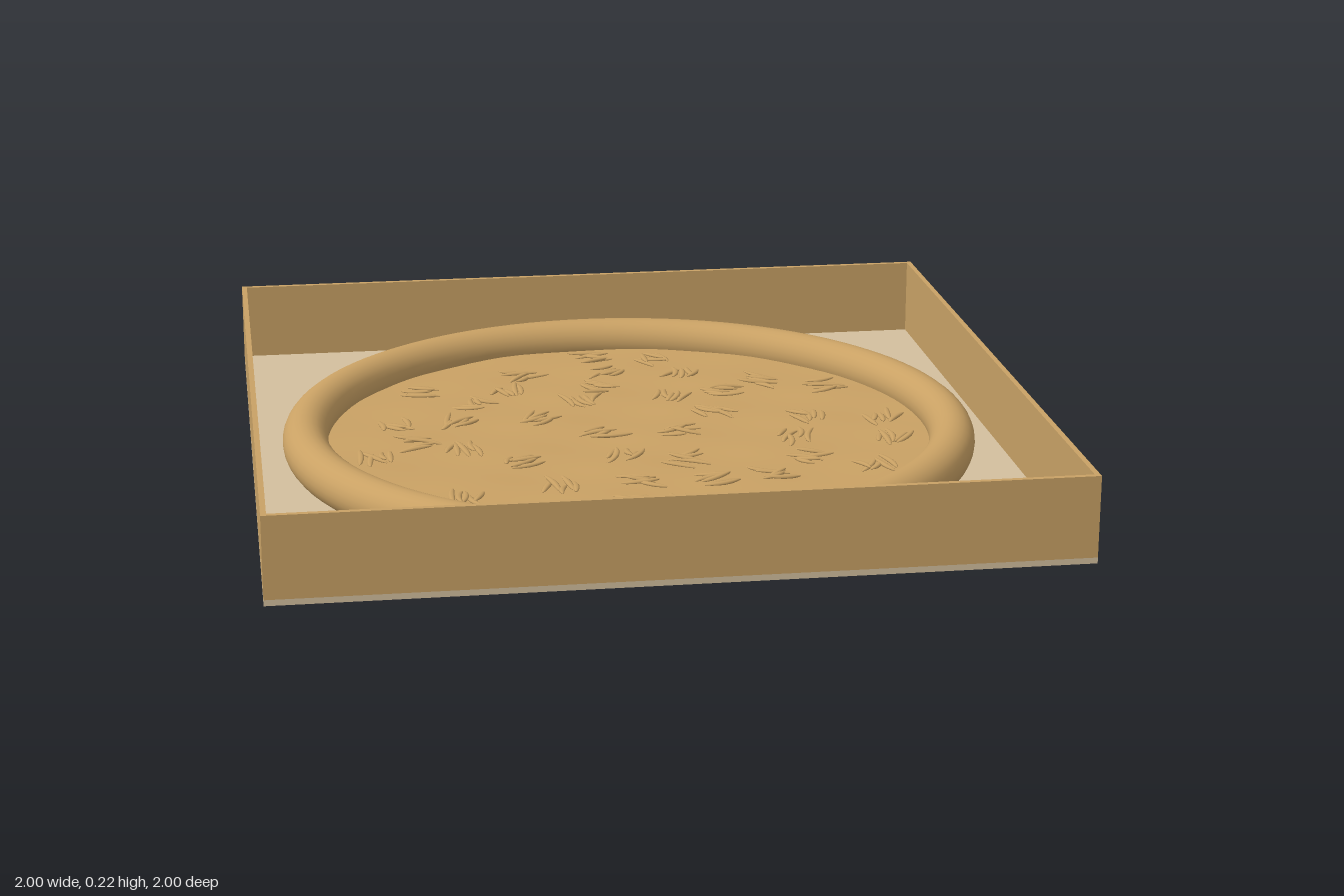
import * as THREE from 'three';

const cardboard = new THREE.MeshStandardMaterial({ color: 0xc8a165 });
cardboard.name = 'cardboard tan';
const dough = new THREE.MeshStandardMaterial({ color: 0xc9a164 });
dough.name = 'baked dough';
const paper = new THREE.MeshStandardMaterial({ color: 0xd3bf9e });
paper.name = 'pale liner';

const FLOOR = 0.015, HEIGHT = 0.223, WALL = 0.014, TOP = 0.046;

// x, z of each little heap of shreds
const HEAPS = [
  -0.01, -0.70, 0.16, -0.67, 0.02, -0.55, -0.23, -0.55, 0.22, -0.50, -0.52, -0.44,
  -0.28, -0.41, -0.03, -0.41, 0.44, -0.41, 0.60, -0.34, -0.39, -0.31, -0.09, -0.30,
  0.16, -0.31, 0.31, -0.34, -0.61, -0.14, -0.45, -0.15, -0.23, -0.15, 0.25, -0.16,
  0.50, -0.08, 0.70, -0.04, -0.56, 0.01, -0.08, 0.00, 0.13, 0.00, -0.45, 0.08,
  0.43, 0.09, -0.68, 0.13, 0.69, 0.14, -0.31, 0.20, -0.04, 0.19, 0.11, 0.23,
  0.45, 0.27, 0.60, 0.35, -0.23, 0.41, -0.02, 0.39, 0.16, 0.41, 0.31, 0.39,
  -0.48, 0.46, -0.07, 0.55, 0.09, 0.58, 0.32, 0.60,
];

let seed = 7;
function rand(a, b) {
  seed = (seed * 16807) % 2147483647;
  return a + (b - a) * (seed / 2147483647);
}

function addMesh(parent, name, geometry, material, x = 0, y = 0, z = 0) {
  const mesh = new THREE.Mesh(geometry, material);
  mesh.name = name;
  mesh.position.set(x, y, z);
  parent.add(mesh);
  return mesh;
}

// Soft uneven surface of the pie
const bump = (x, z) => 0.0012 * (Math.sin(17 * x + 9 * z) + Math.sin(21 * z - 11 * x + 2));

function pieTop() {
  const g = new THREE.RingGeometry(0, 0.84, 72, 24).rotateX(-Math.PI / 2);
  const p = g.attributes.position;
  for (let i = 0; i < p.count; i++) p.setY(i, bump(p.getX(i), p.getZ(i)));
  g.computeVertexNormals();
  return g;
}

// A thin bent sliver with tapered ends
function shred(length) {
  const g = new THREE.SphereGeometry(1, 7, 8).rotateZ(Math.PI / 2);
  g.scale(length / 2, 0.005, 0.009);
  const p = g.attributes.position;
  const bend = rand(-5, 5);
  for (let i = 0; i < p.count; i++) p.setZ(i, p.getZ(i) + bend * p.getX(i) ** 2);
  g.computeVertexNormals();
  return g;
}

export function createModel() {
  const model = new THREE.Group();
  model.name = 'pieInBox';

  // Open tray
  const box = new THREE.Group();
  box.name = 'box';
  model.add(box);
  addMesh(box, 'boxFloor', new THREE.BoxGeometry(2, FLOOR, 2), paper, 0, FLOOR / 2);
  const h = HEIGHT - FLOOR, y = FLOOR + h / 2;
  for (const s of [-1, 1]) {
    addMesh(box, s < 0 ? 'backWall' : 'frontWall',
      new THREE.BoxGeometry(2, h, WALL), cardboard, 0, y, s * (1 - WALL / 2));
    addMesh(box, s < 0 ? 'rightWall' : 'leftWall',
      new THREE.BoxGeometry(WALL, h, 2 - 2 * WALL), cardboard, s * (1 - WALL / 2), y);
  }

  // Pie base and rolled crust
  const pie = new THREE.Group();
  pie.name = 'pie';
  model.add(pie);
  addMesh(pie, 'crust', new THREE.TorusGeometry(0.86, 0.06, 24, 96).rotateX(Math.PI / 2), dough, 0, 0.062);
  addMesh(pie, 'pieTop', pieTop(), dough, 0, TOP);

  // Heaps of shreds scattered over the pie
  for (let i = 0; i < HEAPS.length; i += 2) {
    const heap = new THREE.Group();
    heap.name = 'shredHeap';
    heap.position.set(HEAPS[i], TOP + bump(HEAPS[i], HEAPS[i + 1]) + 0.004, HEAPS[i + 1]);
    heap.rotation.y = rand(0, Math.PI * 2);
    pie.add(heap);
    for (let k = 0; k < 5; k++) {
      const piece = addMesh(heap, 'shred', shred(rand(0.07, 0.11)), dough,
        rand(-0.025, 0.025), rand(0, 0.008), (k - 2) * 0.018);
      piece.rotation.set(0, rand(-0.6, 0.6), rand(-0.12, 0.12));
    }
  }
  return model;
}
